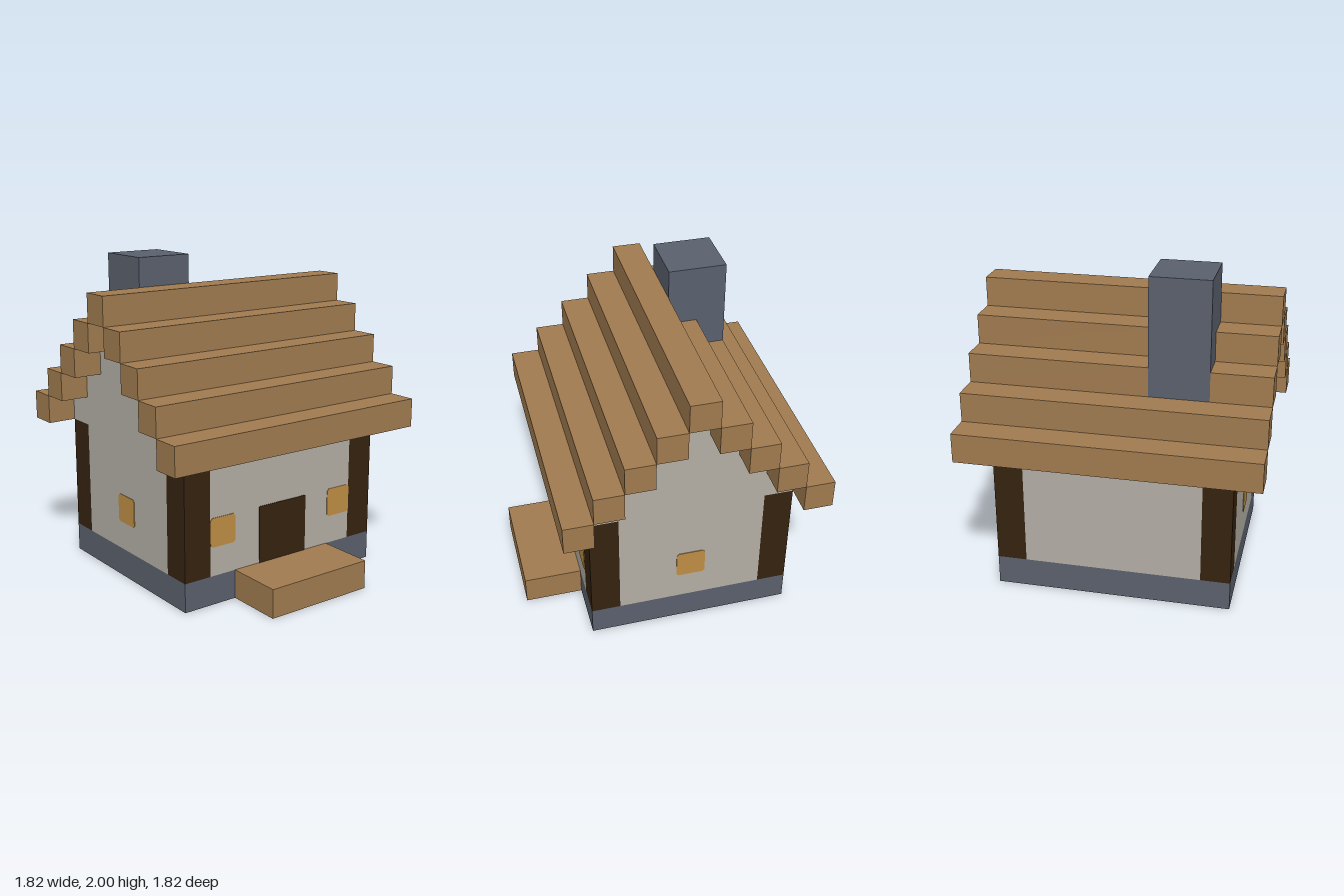
import * as THREE from 'three';

const U = 2 / 11; // one block; all sizes below are in blocks

const makeMaterial = (name, color) => {
  const m = new THREE.MeshStandardMaterial({ color });
  m.name = name;
  return m;
};

export function createModel() {
  const house = new THREE.Group();
  house.name = 'cottage';

  const wood = makeMaterial('wood', 0xa07b4f);
  const plaster = makeMaterial('plaster', 0xb3aea5);
  const timber = makeMaterial('darkTimber', 0x35220f);
  const stone = makeMaterial('stone', 0x5a606d);
  const glow = makeMaterial('windowGlow', 0xbe8e44);

  const add = (name, geometry, material) => {
    const mesh = new THREE.Mesh(geometry, material);
    mesh.name = name;
    house.add(mesh);
    return mesh;
  };
  // Box given by its extents in blocks
  const block = (name, material, x0, x1, y0, y1, z0, z1) => {
    const g = new THREE.BoxGeometry((x1 - x0) * U, (y1 - y0) * U, (z1 - z0) * U);
    g.translate((x0 + x1) * U / 2, (y0 + y1) * U / 2, (z0 + z1) * U / 2);
    return add(name, g, material);
  };
  const outline = (points) => new THREE.Shape(points.map(([a, b]) => new THREE.Vector2(a * U, b * U)));
  const extrude = (shape, depth) => new THREE.ExtrudeGeometry(shape, { depth, bevelEnabled: false });

  // Stone base and front step
  block('foundation', stone, -4, 4, 0, 1, -4, 3);
  block('frontStep', wood, -2, 2, 0, 1, 3, 5);

  // Plaster walls, notched at the corners for the posts
  const plan = outline([
    [-3, -3], [3, -3], [3, -2], [4, -2], [4, 3], [3, 3],
    [3, 4], [-3, 4], [-3, 3], [-4, 3], [-4, -2], [-3, -2],
  ]);
  const walls = extrude(plan, 4 * U);
  walls.rotateX(-Math.PI / 2).translate(0, U, 0);
  add('walls', walls, plaster);

  // Corner posts
  for (const x of [-4, 3]) {
    for (const z of [-4, 2]) block('cornerPost', timber, x, x + 1, 1, 5, z, z + 1);
  }

  // Stepped gable body under the roof, drawn as (-z, y)
  const steps = [];
  for (let i = 0; i < 4; i++) steps.push([4 - i, 5 + i], [4 - i, 6 + i]);
  for (let i = 3; i >= 0; i--) steps.push([i - 3, 6 + i], [i - 3, 5 + i]);
  const gable = extrude(outline(steps), 8 * U);
  gable.rotateY(Math.PI / 2).translate(-4 * U, 0, 0);
  add('gables', gable, plaster);

  // Roof beams, with a gap in the back slope for the chimney
  for (let i = 0; i < 4; i++) {
    const y = 5 + i;
    block('frontRoofBeam', wood, -5, 5, y, y + 1, 3 - i, 4 - i);
    const spans = i < 2 ? [[-5, 5]] : [[-5, -3], [-1, 5]];
    for (const [x0, x1] of spans) block('backRoofBeam', wood, x0, x1, y, y + 1, i - 5, i - 4);
  }
  block('ridgeBeam', wood, -5, 5, 9, 10, -1, 0);
  block('chimney', stone, -3, -1, 7, 11, -3, -1);

  // Thin panel with slightly rounded corners, facing +z
  const thin = 0.004;
  const panel = (w, h, r) => {
    const a = w * U / 2, b = h * U / 2;
    const s = new THREE.Shape();
    s.moveTo(-a + r, -b).lineTo(a - r, -b).lineTo(a, -b + r).lineTo(a, b - r);
    s.lineTo(a - r, b).lineTo(-a + r, b).lineTo(-a, b - r).lineTo(-a, -b + r);
    return extrude(s, thin);
  };

  // Door
  add('door', panel(2, 2, 0.002), timber).position.set(0, 2 * U, 3 * U);

  // Windows on the front and both sides
  for (const side of [-1, 1]) {
    add('frontWindow', panel(1, 1, 0.014), glow).position.set(side * 2.5 * U, 2.5 * U, 3 * U);
    const w = add('sideWindow', panel(1, 1, 0.014), glow);
    w.rotation.y = side * Math.PI / 2;
    w.position.set(side * 4 * U, 2.5 * U, -0.5 * U);
  }

  return house;
}
